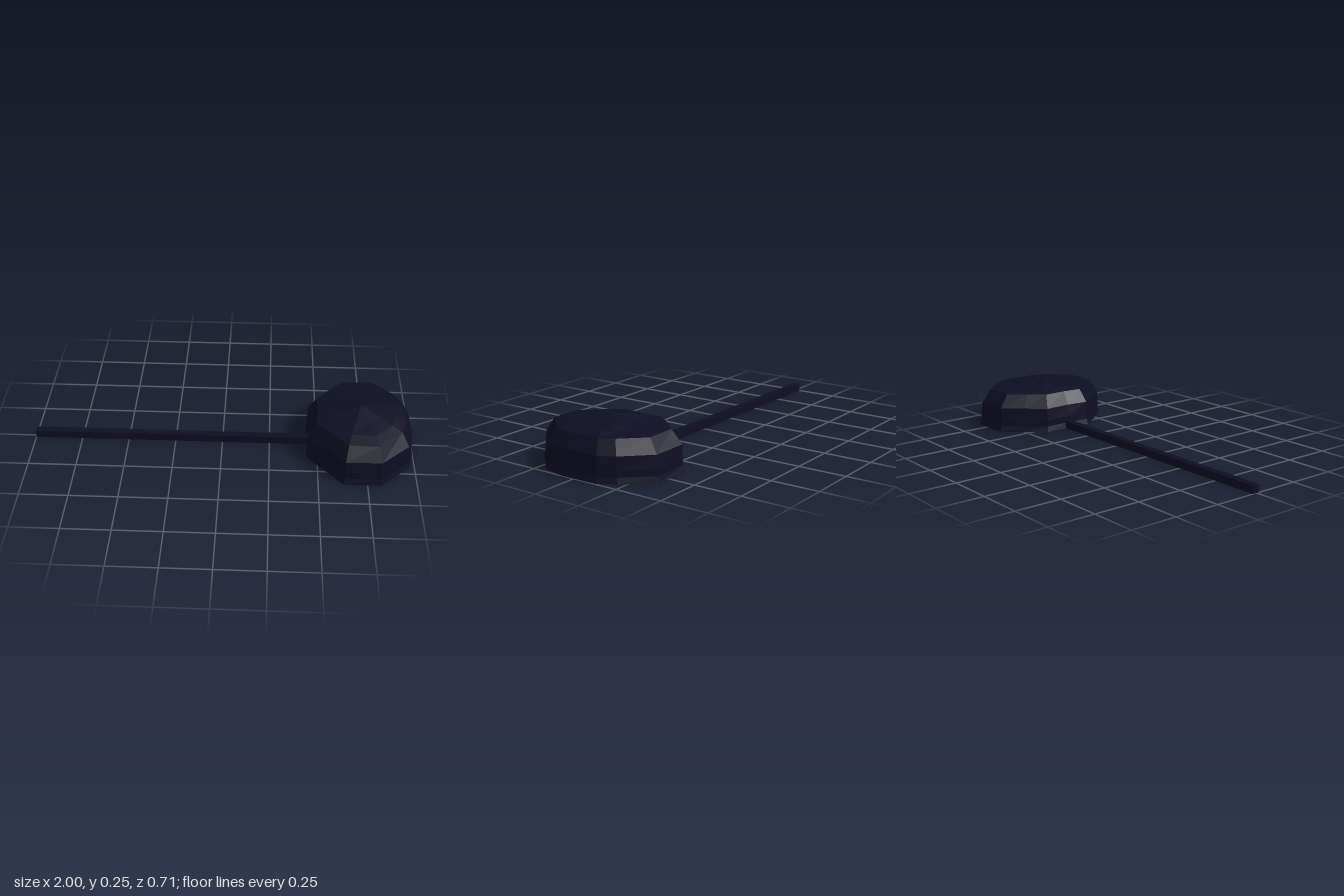
import * as THREE from 'three';

export function createModel() {
  const model = new THREE.Group();
  const darkStone = new THREE.MeshStandardMaterial({ color: 0x0e0e23, flatShading: true });

  // Square handle, running into the head
  const handle = new THREE.Mesh(new THREE.BoxGeometry(1.5, 0.04, 0.04), darkStone);
  handle.name = 'handle';
  handle.position.set(-0.25, 0.02, -0.004);
  model.add(handle);

  // Rough stone head: one irregular outline, stacked in scaled rings
  const centerX = 0.72;
  const outline = [
    [0.445, -0.15], [0.53, -0.25], [0.62, -0.352], [0.82, -0.355], [0.95, -0.215], [0.995, -0.13],
    [1.0, 0.07], [0.97, 0.2], [0.82, 0.352], [0.63, 0.352], [0.53, 0.235], [0.44, 0.125], [0.45, 0],
  ];
  const rings = [ // scale, height, chip depth
    [1, 0, 0], [0.98, 0.03, 0.01], [0.98, 0.065, 0.01], [0.965, 0.13, 0.012],
    [0.83, 0.2, 0.015], [0.64, 0.216, 0.02], [0.4, 0.228, 0.03],
  ];
  const n = outline.length;
  const positions = [];
  const index = [];
  rings.forEach(([scale, height, chip], r) => {
    outline.forEach(([x, z], j) => {
      const s = scale - chip * (0.5 + 0.5 * Math.sin(j * 2.7 + r * 1.9));
      const px = centerX + (x - centerX) * s;
      const pz = z * s;
      // the back of the crown is chipped lower
      const dip = r > 4 && pz < -0.09 ? (r - 4) * 0.006 : 0;
      positions.push(px, height - dip, pz);
    });
  });
  const bottom = rings.length * n;
  const apex = bottom + 1;
  positions.push(centerX, 0, 0, centerX, 0.25, 0);
  for (let j = 0; j < n; j++) {
    const k = (j + 1) % n;
    for (let r = 0; r < rings.length - 1; r++) {
      const low = r * n;
      const up = low + n;
      index.push(low + k, low + j, up + j, low + k, up + j, up + k);
    }
    const last = (rings.length - 1) * n;
    index.push(bottom, j, k, last + k, last + j, apex);
  }
  const geometry = new THREE.BufferGeometry();
  geometry.setAttribute('position', new THREE.Float32BufferAttribute(positions, 3));
  geometry.setIndex(index);
  geometry.computeVertexNormals();
  const head = new THREE.Mesh(geometry, darkStone);
  head.name = 'stoneHead';
  model.add(head);

  return model;
}
